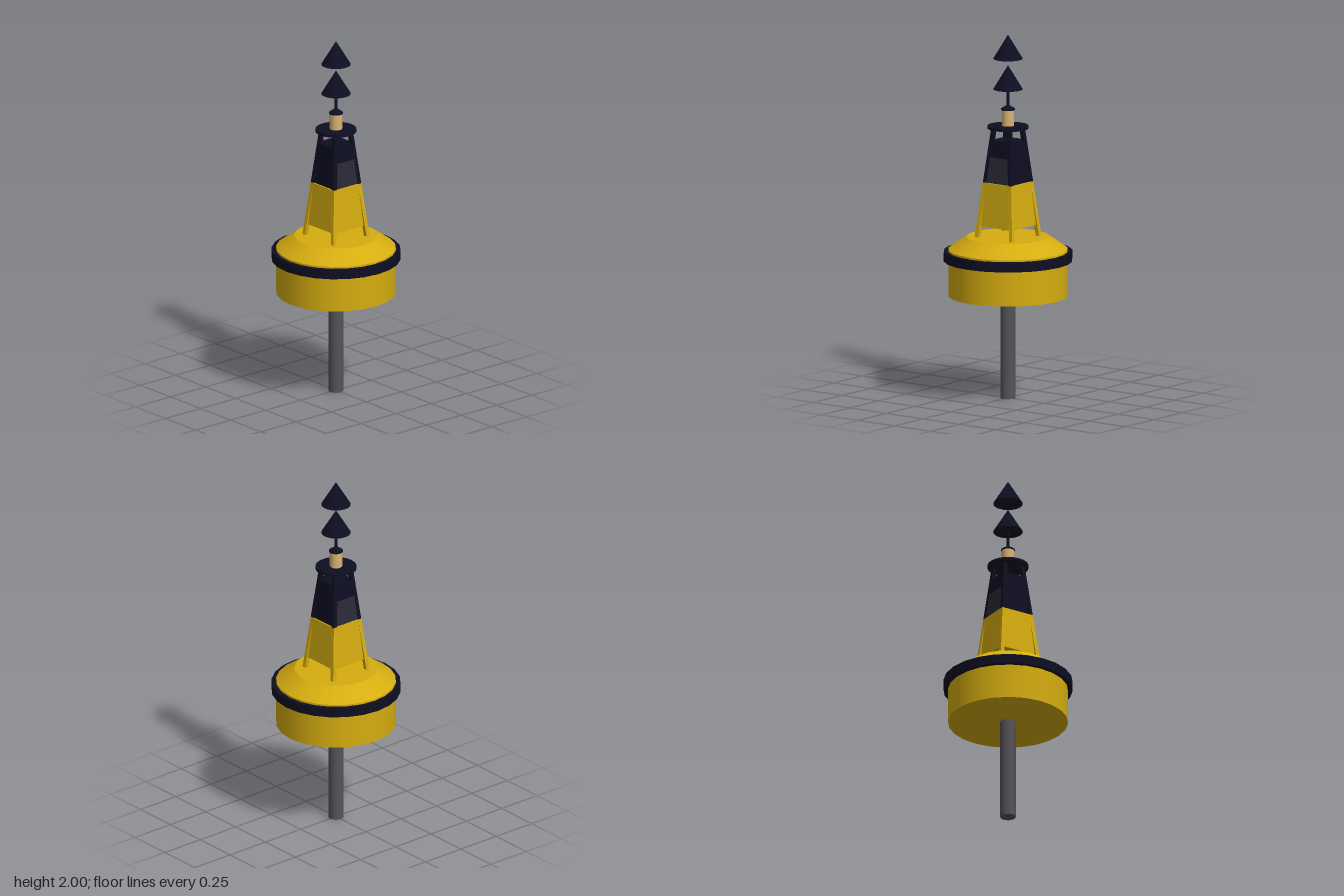
import * as THREE from 'three';

const mat = (name, color, extra = {}) => {
  const m = new THREE.MeshStandardMaterial({ color, ...extra });
  m.name = name;
  return m;
};

export function createModel() {
  const yellow = mat('buoy yellow', 0xd6ad10);
  const navy = mat('navy black', 0x0e0e22);
  const charcoal = mat('charcoal', 0x2a2a38);
  const steel = mat('dark steel', 0x545458);
  const amber = mat('lantern amber', 0xd8b474);

  const buoy = new THREE.Group();
  buoy.name = 'buoy';
  const add = (name, geometry, material) => {
    const mesh = new THREE.Mesh(geometry, material);
    mesh.name = name;
    buoy.add(mesh);
    return mesh;
  };
  // Round part between two heights
  const round = (name, r0, r1, y0, y1, material, open = false) => {
    const g = new THREE.CylinderGeometry(r1, r0, y1 - y0, 24, 1, open);
    add(name, g.translate(0, (y0 + y1) / 2, 0), material);
  };
  // Square block whose centre and half size are set separately at each end
  const block = (name, lo, hi, material) => {
    const g = new THREE.BoxGeometry(2, 1, 2);
    const p = g.attributes.position;
    for (let i = 0; i < p.count; i++) {
      const e = p.getY(i) < 0 ? lo : hi;
      p.setXYZ(i, e.x + p.getX(i) * e.hx, e.y, e.z + p.getZ(i) * e.hz);
    }
    g.computeVertexNormals();
    add(name, g, material);
  };
  const ring = (y, h, hz = h) => ({ x: 0, z: 0, y, hx: h, hz });

  // Float and keel pole
  round('keelPole', 0.042, 0.042, 0, 0.57, steel);
  round('hull', 0.325, 0.325, 0.565, 0.82, yellow);
  round('hullShoulder', 0.325, 0.225, 0.82, 0.89, yellow);
  round('fender', 0.35, 0.35, 0.758, 0.81, navy);

  // Four leaning legs, yellow below and dark above
  const legAt = (y, sx, sz) => {
    const c = 0.118 - 0.107 * (y - 0.89);
    return { x: sx * c, z: sz * c, y, hx: 0.011, hz: 0.011 };
  };
  for (const sx of [-1, 1]) {
    for (const sz of [-1, 1]) {
      block('lowerLeg', legAt(0.885, sx, sz), legAt(1.19, sx, sz), yellow);
      block('upperLeg', legAt(1.19, sx, sz), legAt(1.488, sx, sz), navy);
    }
  }

  // Tower cladding
  block('lowerPanels', ring(0.95, 0.112), ring(1.19, 0.098), yellow);
  block('upperPanels', ring(1.19, 0.09), ring(1.42, 0.0715), navy);
  // Paler bands on the front and back only
  for (const s of [-1, 1]) {
    block('panelBand',
      { x: 0, z: s * 0.09, y: 1.191, hx: 0.086, hz: 0.003 },
      { x: 0, z: s * 0.079, y: 1.33, hx: 0.072, hz: 0.003 }, charcoal);
  }

  // Platform, lantern and cap
  round('platform', 0.111, 0.111, 1.485, 1.5, navy);
  round('lantern', 0.034, 0.034, 1.5, 1.588, amber);
  round('lanternCapRim', 0.037, 0.037, 1.586, 1.594, navy);
  round('lanternCap', 0.037, 0.015, 1.594, 1.609, navy);

  // Topmark: two cones, points up
  round('topmarkRod', 0.008, 0.008, 1.6, 1.75, navy);
  for (const y of [1.7, 1.868]) {
    const cone = new THREE.ConeGeometry(0.08, 0.132, 24);
    add('topmarkCone', cone.translate(0, y + 0.066, 0), navy);
  }
  return buoy;
}
